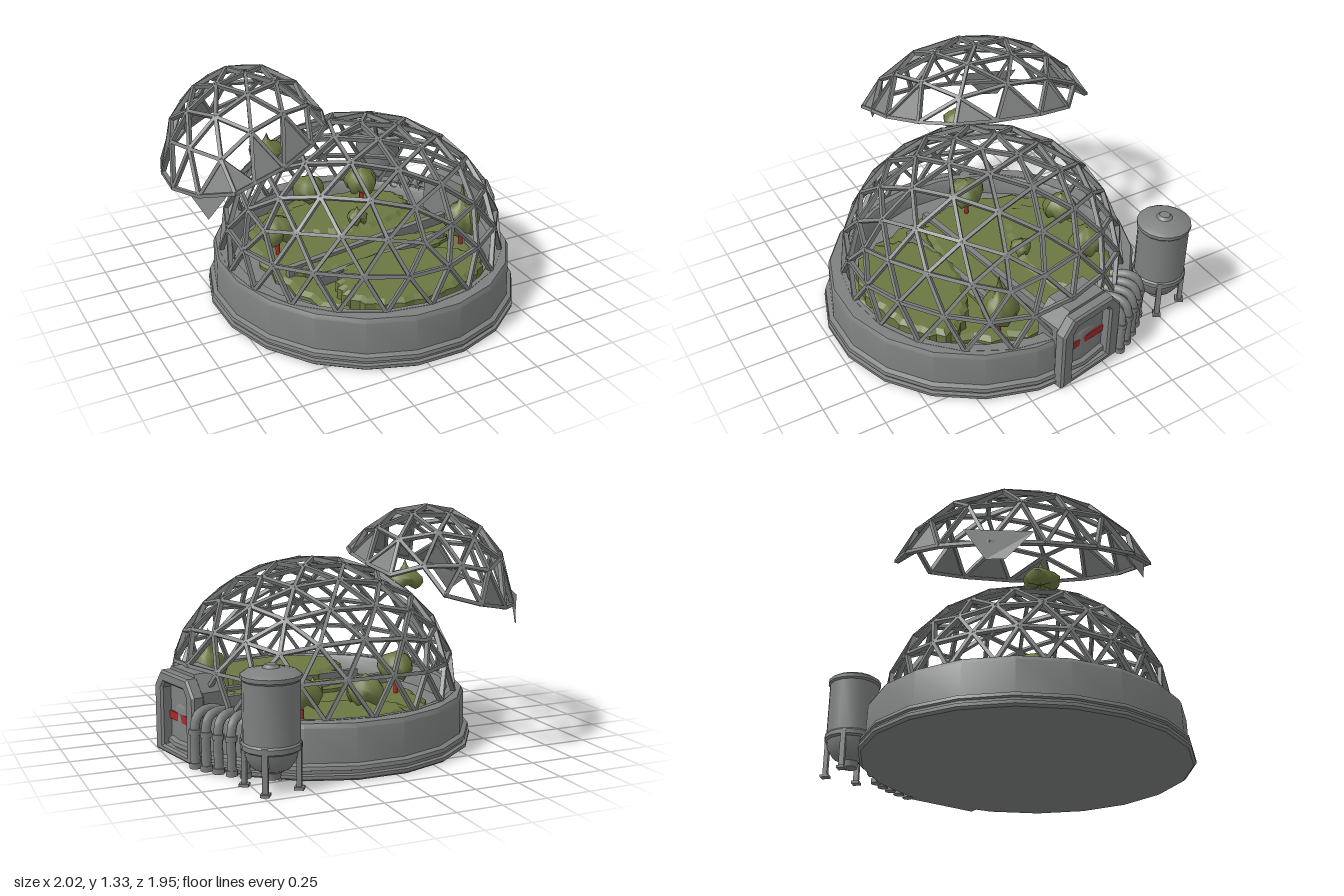
import * as THREE from 'three';
import { mergeGeometries, toCreasedNormals } from 'three/addons/utils/BufferGeometryUtils.js';

const metal = new THREE.MeshStandardMaterial({ color: 0x7e8080, side: THREE.DoubleSide });
metal.name = 'grey metal';
const leaf = new THREE.MeshStandardMaterial({ color: 0x6a7741 });
leaf.name = 'leaf green';
const red = new THREE.MeshStandardMaterial({ color: 0xa82a2c });
red.name = 'signal red';

const CX = 0.08, CZ = 0.035;

function add(parent, name, geometry, material, x = 0, y = 0, z = 0) {
  const mesh = new THREE.Mesh(geometry, material);
  mesh.name = name;
  mesh.position.set(x, y, z);
  parent.add(mesh);
  return mesh;
}
const lathe = (pts, seg, start = 0) => toCreasedNormals(
  new THREE.LatheGeometry(pts.map(p => new THREE.Vector2(...p)), seg, start), 0.55);

// Geodesic faces with a vertex at the pole, stretched, yawed and moved into place
function geodesic(detail, scale, centre, yaw) {
  const g = new THREE.IcosahedronGeometry(1, detail);
  g.rotateX(-Math.atan2((1 + Math.sqrt(5)) / 2, 1));
  g.scale(...scale);
  g.rotateY(yaw);
  g.translate(...centre);
  const p = g.attributes.position, faces = [];
  for (let i = 0; i < p.count; i += 3)
    faces.push([0, 1, 2].map(k => new THREE.Vector3().fromBufferAttribute(p, i + k)));
  return faces;
}

// One box beam along every edge whose two ends pass the test
function lattice(faces, centre, keep, width, depth) {
  const c = new THREE.Vector3(...centre), seen = new Set(), beams = [];
  const key = v => v.toArray().map(n => Math.round(n * 500)).join();
  for (const f of faces) for (let k = 0; k < 3; k++) {
    const a = f[k], b = f[(k + 1) % 3], id = [key(a), key(b)].sort().join('|');
    if (seen.has(id) || !keep(a) || !keep(b)) continue;
    seen.add(id);
    const mid = a.clone().add(b).multiplyScalar(0.5);
    const dir = b.clone().sub(a), len = dir.length();
    dir.normalize();
    const side = new THREE.Vector3().crossVectors(dir, mid.clone().sub(c)).normalize();
    const out = new THREE.Vector3().crossVectors(side, dir);
    const g = new THREE.BoxGeometry(width, len + 0.008, depth);
    beams.push(g.applyMatrix4(new THREE.Matrix4().makeBasis(side, dir, out).setPosition(mid)));
  }
  return mergeGeometries(beams);
}

// Lumpy crown with a pointed top and a ragged lower edge
function crown(r, h, tip, seed) {
  const pts = [[0.001, 0.1 * h], [0.5 * r, 0.05 * h], [0.8 * r, 0], [r, 0.35 * h], [0.95 * r, 0.6 * h],
    [0.7 * r, 0.88 * h], [0.3 * r, h], [0.12 * r, h + 0.5 * tip], [0.001, h + tip]];
  const g = new THREE.LatheGeometry(pts.map(p => new THREE.Vector2(...p)), 18);
  const p = g.attributes.position;
  for (let i = 0; i < p.count; i++) {
    const x = p.getX(i), y = p.getY(i), z = p.getZ(i), a = Math.atan2(z, x);
    const k = 1 + 0.1 * Math.sin(3 * a + seed) + 0.06 * Math.sin(7 * a + 2 * seed);
    const drop = y < 0.4 * h ? 0.02 * Math.sin(5 * a + seed) * Math.hypot(x, z) / r : 0;
    p.setXYZ(i, x * k, y + drop, z * k);
  }
  g.computeVertexNormals();
  return g;
}

// Low planted bed with a jagged outline
function bed(rx, rz, h, seed) {
  const s = new THREE.Shape(), n = 48;
  for (let i = 0; i < n; i++) {
    const a = i / n * Math.PI * 2, k = 1 + (i % 2 ? 0.025 : -0.025) + 0.05 * Math.sin(3 * a + seed);
    s[i ? 'lineTo' : 'moveTo'](Math.cos(a) * rx * k, Math.sin(a) * rz * k);
  }
  const g = new THREE.ExtrudeGeometry(s, { depth: h, bevelEnabled: true, bevelSize: 0.03, bevelThickness: 0.02, bevelSegments: 1 });
  return g.rotateX(-Math.PI / 2);
}

// Arch with chamfered corners
function arch(PathType, w, y0, y1, cut) {
  const s = new PathType();
  s.moveTo(-w, y0);
  [[w, y0], [w, y1 - cut], [w - cut * 0.8, y1], [cut * 0.8 - w, y1], [-w, y1 - cut], [-w, y0]].forEach(p => s.lineTo(...p));
  return s;
}
const slab = (shape, depth, bevel) => new THREE.ExtrudeGeometry(shape,
  { depth, bevelEnabled: bevel > 0, bevelSize: bevel, bevelThickness: bevel, bevelSegments: 1 });

export function createModel() {
  const model = new THREE.Group();
  model.name = 'domedGreenhouse';

  // Foundation: flange, wall, rim and sunken floor, slightly longer than wide
  const base = lathe([[0.001, 0], [0.91, 0], [0.925, 0.012], [0.925, 0.03], [0.905, 0.034], [0.905, 0.05],
    [0.92, 0.055], [0.915, 0.075], [0.89, 0.085], [0.885, 0.265], [0.872, 0.288], [0.79, 0.288], [0.775, 0.265],
    [0.76, 0.18], [0.001, 0.18]], 20, Math.PI / 20);
  add(model, 'foundation', base.scale(0.965, 1, 1.025), metal, CX, 0, CZ);

  // Main dome
  const dc = [CX, 0.28, CZ];
  add(model, 'domeFrame', lattice(geodesic(3, [0.815, 0.735, 0.815], dc, 0), dc,
    v => v.y > 0.27, 0.02, 0.025), metal);

  // Torn-off dome section hanging above; vertices near the cut are snapped onto its slanted plane
  const cc = [-0.49, 0.77, -0.25];
  const faces = geodesic(2, [0.49, 0.545, 0.69], cc, -0.34);
  const rise = v => v.y - 0.925 - 0.28 * (v.x + 0.5) - 0.12 * (v.z + 0.25);
  faces.flat().forEach(v => { if (Math.abs(rise(v)) < 0.09) v.y -= rise(v); });
  const kept = v => rise(v) > -0.001;
  add(model, 'liftedFrame', lattice(faces, cc, kept, 0.019, 0.024), metal);

  // Panels left along the rim, and loose ones hanging on the low side
  const torn = [];
  faces.forEach((f, i) => {
    const m = f[0].clone().add(f[1]).add(f[2]).divideScalar(3);
    const openSide = m.x < -0.6 && m.z > -0.7 && m.z < 0.1;
    if (f.every(kept) && rise(m) < 0.085 && !openSide && i % 5 !== 4) torn.push(...f);
  });
  const hanging = [
    [-0.96, 0.84, -0.4], [-0.8, 0.86, -0.72], [-0.86, 0.68, -0.62],
    [-0.96, 0.84, -0.4], [-0.86, 0.68, -0.62], [-0.92, 0.67, -0.54],
    [-0.97, 0.84, 0.1], [-0.92, 0.74, 0.24], [-0.83, 0.89, 0.3]];
  torn.push(...hanging.map(p => new THREE.Vector3(...p)));
  const panels = new THREE.BufferGeometry().setFromPoints(torn);
  panels.computeVertexNormals();
  add(model, 'tornPanels', panels, metal);

  // Garden
  const garden = new THREE.Group();
  garden.name = 'garden';
  model.add(garden);
  add(garden, 'lawn', bed(0.59, 0.74, 0.02, 1), leaf, 0.1, 0.18, 0.02);
  add(garden, 'frontBed', bed(0.4, 0.24, 0.08, 2), leaf, 0.13, 0.2, 0.51);
  add(garden, 'middleBed', bed(0.45, 0.08, 0.04, 4), leaf, 0.12, 0.2, 0.14);
  add(garden, 'backBed', bed(0.42, 0.22, 0.03, 5), leaf, 0.2, 0.19, -0.42);
  for (const [x, z, len] of [[0.13, 0.05, 1.15], [0.12, 0.24, 0.9]])
    add(garden, 'walkwayCurb', new THREE.BoxGeometry(len, 0.08, 0.035), metal, x, 0.24, z).rotation.y = 0.16;
  // Each plant: x, y, z, radius, height, tip
  const plants = [[-0.38, 0.325, -0.12, 0.105, 0.13, 0.015], [0.02, 0.315, -0.55, 0.1, 0.13, 0.02],
    [0.37, 0.315, -0.5, 0.1, 0.135, 0.015], [0.64, 0.315, 0.25, 0.1, 0.17, 0.13],
    [0.17, 0.28, -0.18, 0.06, 0.07, 0.03], [-0.43, 0.85, -0.12, 0.1, 0.09, 0.06]];
  plants.forEach(([x, y, z, r, h, tip], i) =>
    add(garden, 'plantCrown', crown(r, h, tip, i * 1.7), leaf, x, y, z));
  // Red stakes under three of the plants
  for (const i of [0, 2, 3])
    add(garden, 'plantStake', new THREE.CylinderGeometry(0.014, 0.014, 0.11, 8), red, plants[i][0], 0.235, plants[i][2]);

  // Entrance, built facing +z and turned to the side of the dome
  const door = new THREE.Group();
  door.name = 'entrance';
  door.position.set(CX - 0.015, 0, CZ);
  door.rotation.y = Math.PI / 2 + 0.2;
  model.add(door);
  add(door, 'vestibule', slab(arch(THREE.Shape, 0.2, 0.01, 0.475, 0.09), 0.16, 0), metal, 0, 0, 0.7);
  const frame = arch(THREE.Shape, 0.205, 0.012, 0.445, 0.08);
  frame.holes.push(arch(THREE.Path, 0.148, 0.03, 0.405, 0.04));
  add(door, 'doorFrame', slab(frame, 0.05, 0.012), metal, 0, 0, 0.857);
  add(door, 'doorStripe', new THREE.BoxGeometry(0.272, 0.045, 0.008), red, 0, 0.205, 0.865);

  // Bent pipes over the rim
  const bend = new THREE.CatmullRomCurve3([[0.76, 0.29], [0.86, 0.305], [0.915, 0.28], [0.935, 0.22], [0.935, 0.1], [0.935, 0.01]]
    .map(([r, y]) => new THREE.Vector3(r, y, 0)));
  const pipe = new THREE.TubeGeometry(bend, 20, 0.025, 8);
  for (let i = 0; i < 5; i++) {
    const g = new THREE.Group();
    g.name = 'pipe';
    g.position.set(CX, 0, CZ);
    g.rotation.y = 0.46 + i * 0.085;
    add(g, 'pipeTube', pipe, metal);
    add(g, 'pipeCollar', new THREE.CylinderGeometry(0.032, 0.032, 0.03, 8), metal, 0.935, 0.2, 0);
    add(g, 'pipeFoot', new THREE.CylinderGeometry(0.032, 0.032, 0.03, 8), metal, 0.935, 0.02, 0);
    model.add(g);
  }

  // Storage tank on legs, with a shallow cone roof
  const tank = new THREE.Group();
  tank.name = 'tank';
  tank.position.set(0.66, 0, -0.822);
  model.add(tank);
  add(tank, 'tankBody', lathe([[0.001, 0.05], [0.045, 0.05], [0.05, 0.085], [0.1, 0.11], [0.132, 0.16], [0.14, 0.2], [0.154, 0.21],
    [0.154, 0.235], [0.145, 0.245], [0.145, 0.55], [0.154, 0.56], [0.154, 0.58], [0.13, 0.596], [0.045, 0.612],
    [0.03, 0.628], [0.001, 0.63]], 16), metal);
  for (let i = 0; i < 4; i++) {
    const leg = new THREE.Group();
    leg.name = 'tankLeg';
    leg.rotation.y = Math.PI / 4 + i * Math.PI / 2 + 0.2;
    add(leg, 'legPost', new THREE.BoxGeometry(0.025, 0.24, 0.03), metal, 0.14, 0.12, 0);
    add(leg, 'legFoot', new THREE.BoxGeometry(0.05, 0.015, 0.045), metal, 0.14, 0.0075, 0);
    tank.add(leg);
  }
  return model;
}
